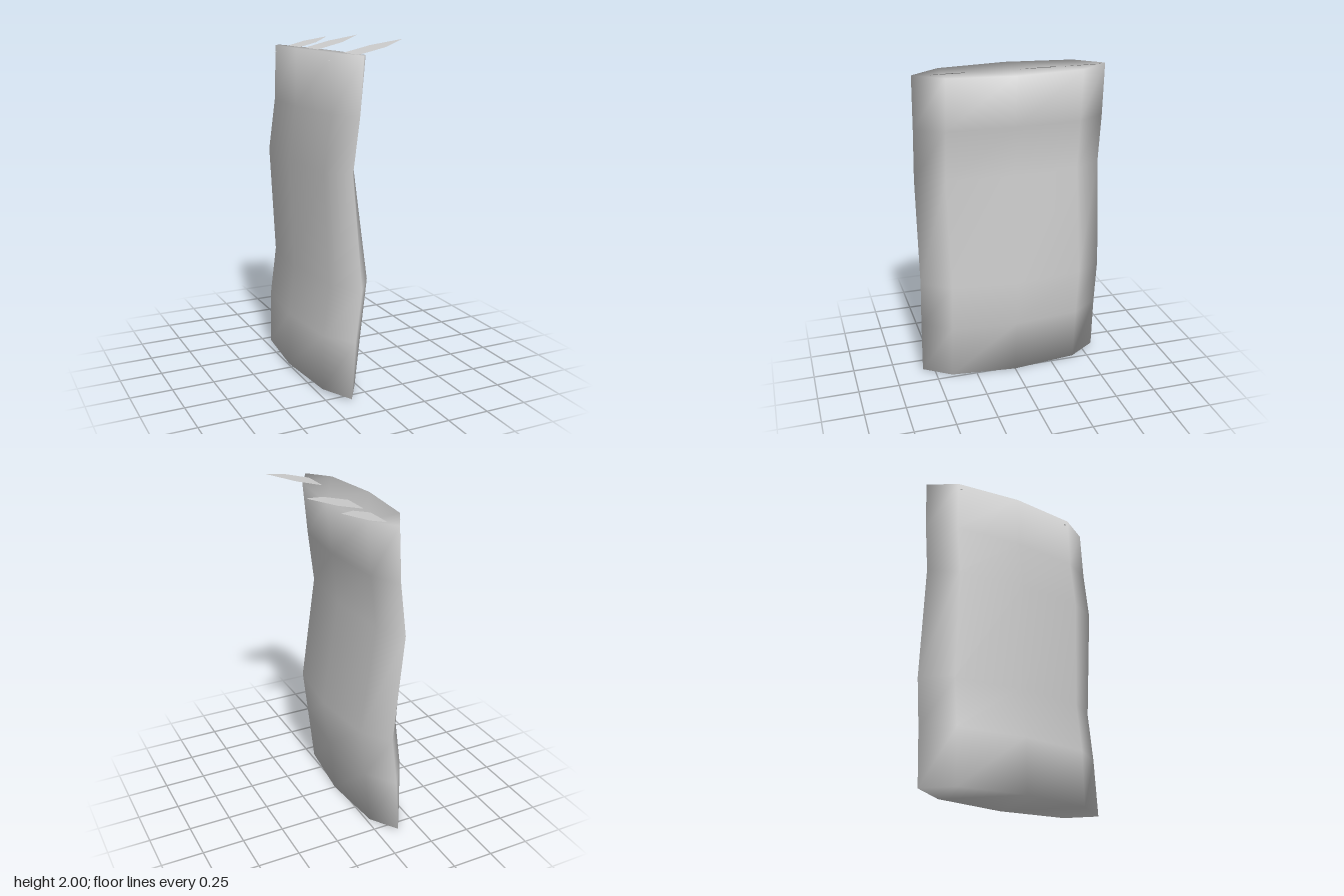
import * as THREE from 'three';

const grey = new THREE.MeshStandardMaterial({ color: 0xcccccc });
grey.name = 'grey';
const leafGrey = grey.clone();
leafGrey.side = THREE.DoubleSide;

// Wavy slab: lens-shaped rings stacked upwards, smooth all round
function makeSlab() {
  // height, centre x, half thickness at the middle, half thickness near the ends, tilt
  const rings = [
    [0.012, -0.122, 0.143, 0.103, -0.09],
    [0.35, -0.1, 0.16, 0.12, 0],
    [0.65, -0.063, 0.162, 0.118, 0],
    [1.3, -0.125, 0.125, 0.09, 0],
    [1.61, -0.085, 0.121, 0.088, 0],
    [1.928, -0.065, 0.135, 0.098, -0.09],
  ];
  const pos = [], index = [];
  for (const [y, cx, mid, end, tilt] of rings) {
    const outline = [[0, -0.575], [end, -0.405], [mid, 0], [end, 0.405],
      [0, 0.575], [-end, 0.405], [-mid, 0], [-end, -0.405]];
    for (const [x, z] of outline) pos.push(cx + x, y + tilt * x, z);
  }
  for (let j = 0; j < rings.length - 1; j++) {
    for (let i = 0; i < 8; i++) {
      const a = j * 8 + i, b = j * 8 + (i + 1) % 8;
      index.push(a, a + 8, b, b, a + 8, b + 8);
    }
  }
  // Bottom and top caps
  const cap = [[0, 1, 7], [1, 2, 6], [1, 6, 7], [2, 3, 5], [2, 5, 6], [3, 4, 5]];
  const top = (rings.length - 1) * 8;
  for (const [a, b, c] of cap) index.push(a, b, c, top + c, top + b, top + a);

  const g = new THREE.BufferGeometry();
  g.setAttribute('position', new THREE.Float32BufferAttribute(pos, 3));
  g.setIndex(index);
  g.computeVertexNormals();
  const mesh = new THREE.Mesh(g, grey);
  mesh.name = 'slab';
  return mesh;
}

// Flat pointed blade rising towards +x, its rear point buried in the slab
function makeBlade(name, baseZ, shoulderX, shoulderZ, tipX, tipZ, rearZ) {
  const height = (x) => 1.937 + 0.243 * x;
  const half = 0.094;
  const points = [[-0.18, rearZ], [-0.04, baseZ + half], [shoulderX, shoulderZ + half],
    [tipX, tipZ], [shoulderX, shoulderZ - half], [-0.04, baseZ - half]];
  const g = new THREE.BufferGeometry();
  g.setAttribute('position', new THREE.Float32BufferAttribute(
    points.flatMap(([x, z]) => [x, height(x), z]), 3));
  g.setIndex([0, 1, 5, 1, 2, 4, 1, 4, 5, 2, 3, 4]);
  g.computeVertexNormals();
  const mesh = new THREE.Mesh(g, leafGrey);
  mesh.name = name;
  return mesh;
}

export function createModel() {
  const model = new THREE.Group();
  model.name = 'wavySlabWithBlades';
  model.add(
    makeSlab(),
    makeBlade('frontBlade', 0.383, 0.113, 0.395, 0.26, 0.405, 0.375),
    makeBlade('middleBlade', -0.136, 0.113, -0.14, 0.26, -0.145, -0.133),
    makeBlade('backBlade', -0.397, 0.065, -0.403, 0.185, -0.412, -0.385),
  );
  return model;
}
